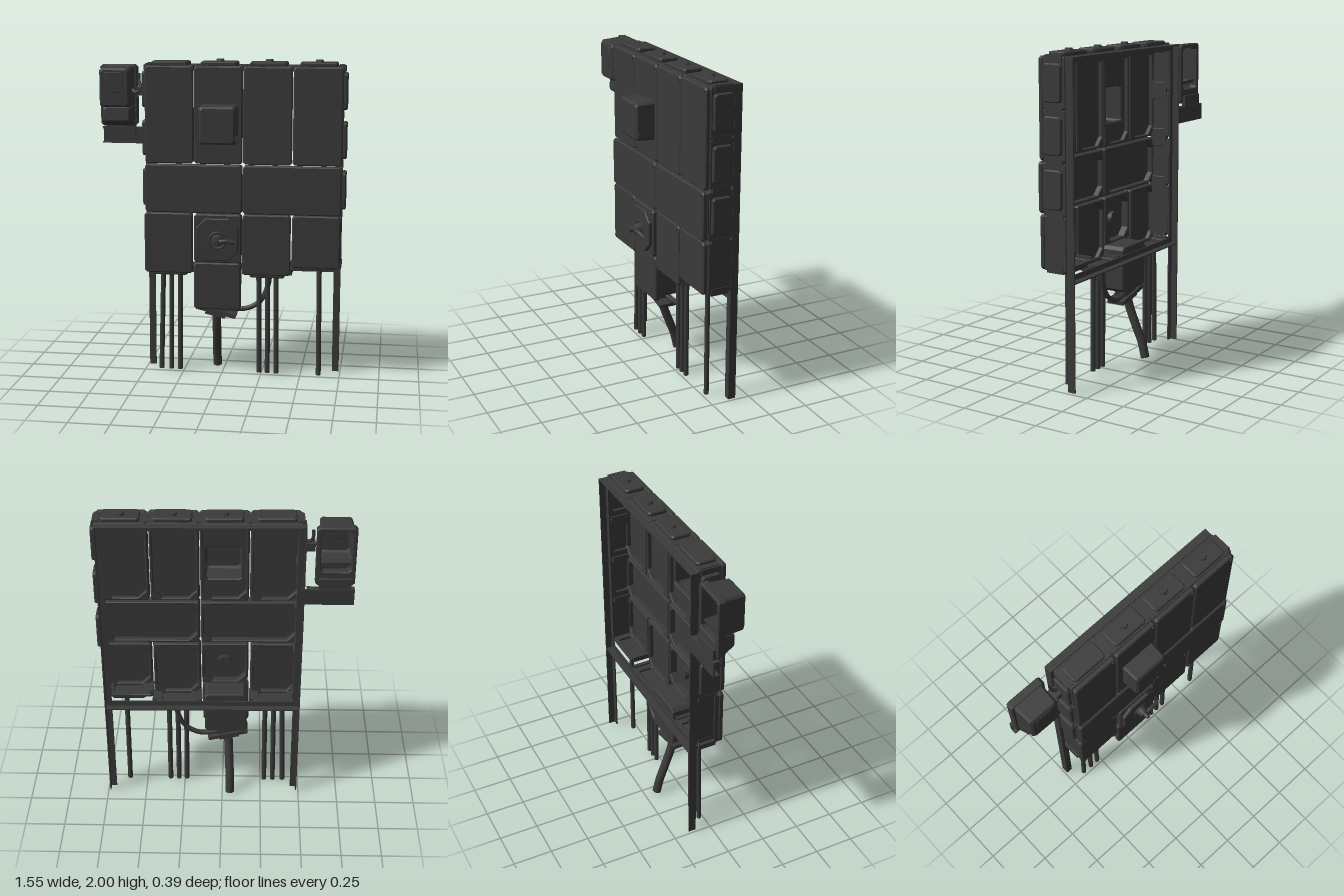
import * as THREE from 'three';

const material = new THREE.MeshStandardMaterial({ color: 0x3a3a3a, side: THREE.DoubleSide });

function add(parent, name, geometry, x = 0, y = 0, z = 0) {
  const mesh = new THREE.Mesh(geometry, material);
  mesh.name = name;
  mesh.position.set(x, y, z);
  parent.add(mesh);
  return mesh;
}

// Rectangle with cut corners
function outline(Type, x0, x1, y0, y1, c) {
  const p = [[x0 + c, y0], [x1 - c, y0], [x1, y0 + c], [x1, y1 - c],
    [x1 - c, y1], [x0 + c, y1], [x0, y1 - c], [x0, y0 + c]];
  return new Type(p.map(([x, y]) => new THREE.Vector2(x, y)));
}

// Bevelled plate facing z, with an optional cut-corner hole
function plate(parent, name, [x0, x1, y0, y1], z0, z1, c = 0.012, hole, b = 0.005) {
  const shape = outline(THREE.Shape, x0, x1, y0, y1, c);
  if (hole) shape.holes.push(outline(THREE.Path, ...hole));
  const geometry = new THREE.ExtrudeGeometry(shape, {
    depth: z1 - z0 - 2 * b, bevelEnabled: true, bevelSegments: 1,
    bevelSize: b, bevelThickness: b, bevelOffset: -b,
  });
  return add(parent, name, geometry, 0, 0, z0 + b);
}

function box(parent, name, x0, x1, y0, y1, z0, z1) {
  return add(parent, name, new THREE.BoxGeometry(x1 - x0, y1 - y0, z1 - z0),
    (x0 + x1) / 2, (y0 + y1) / 2, (z0 + z1) / 2);
}

function pipe(parent, name, points, radius, sides = 10) {
  const curve = new THREE.CatmullRomCurve3(points.map((p) => new THREE.Vector3(...p)));
  const geometry = new THREE.TubeGeometry(curve, points.length > 2 ? 24 : 1, radius, sides);
  return add(parent, name, geometry);
}

// Round part with its axis along z
function disc(parent, name, x, y, z0, z1, r0, r1 = r0, sides = 12) {
  const geometry = new THREE.CylinderGeometry(r1, r0, z1 - z0, sides).rotateX(Math.PI / 2);
  return add(parent, name, geometry, x, y, (z0 + z1) / 2);
}

// Front cell: rim with an octagonal opening, and a thin lid over it
function cell(parent, [x0, x1, y0, y1], front = 0.082, pocket) {
  const g = new THREE.Group();
  g.name = 'enclosureCell';
  parent.add(g);
  plate(g, 'cellRim', [x0 + 0.004, x1 - 0.004, y0 + 0.004, y1 - 0.004], 0.02, front - 0.028, 0.008,
    [x0 + 0.02, x1 - 0.02, y0 + 0.02, y1 - 0.02, 0.05]);
  plate(g, 'lid', [x0, x1, y0, y1], front - 0.032, front, 0.014, pocket, 0.007);
  for (const [x, y] of [[x0 + 0.025, y0 + 0.025], [x1 - 0.025, y1 - 0.025]]) {
    disc(g, 'lidScrew', x, y, front - 0.004, front + 0.005, 0.01, 0.01, 8);
  }
}

// Outer wall with a window covered by a protruding gland plate; local +y points outwards
function wall(parent, x, y, length, angle, { knob = false, out = 0.027, cover = true } = {}) {
  const g = new THREE.Group();
  g.name = 'outerWall';
  g.position.set(x, y, 0);
  g.rotation.z = angle;
  parent.add(g);
  const l = length / 2;
  const frame = plate(g, 'wallFrame', [-l, l, -0.105, 0.045], 0, 0.02, 0.004,
    cover ? [-l + 0.05, l - 0.05, -0.08, 0.02, 0.012] : undefined, 0.003);
  frame.rotation.x = Math.PI / 2;
  // End brackets inside the frame
  for (const s of [-1, 1]) box(g, 'cornerBracket', s * l - 0.012, s * l + 0.012, -0.028, 0.006, -0.085, 0.03);
  if (!cover) return;
  const lid = plate(g, 'glandPlate', [-l + 0.035, l - 0.035, -0.092, 0.032], 0, out, 0.014, undefined, 0.006);
  lid.rotation.x = Math.PI / 2;
  lid.position.y = out - 0.006;
  if (knob) add(g, 'plugScrew', new THREE.CylinderGeometry(0.024, 0.03, 0.016, 6), 0, out + 0.006, -0.03);
}

// Box narrowing towards the front, open at the back
function hood(parent, name, [x0, x1, y0, y1], z0, z1, taper) {
  const w = x1 - x0, h = y1 - y0;
  const profile = [[0.012, z0], [0, z0], [taper, z1 - 0.012], [taper + 0.012, z1]];
  const vertices = [], index = [];
  for (const [inset, z] of profile) {
    const a = w / 2 - inset, b = h / 2 - inset, c = 0.012;
    const ring = [[a - c, b], [c - a, b], [-a, b - c], [-a, c - b], [c - a, -b], [a - c, -b], [a, c - b], [a, b - c]];
    for (const [x, y] of ring) vertices.push(x, y, z);
  }
  for (let r = 0; r < 3; r++) for (let i = 0; i < 8; i++) {
    const a = r * 8 + i, b = r * 8 + (i + 1) % 8;
    index.push(a, b, b + 8, a, b + 8, a + 8);
  }
  for (let i = 1; i < 7; i++) index.push(24, 24 + i, 25 + i);
  const indexed = new THREE.BufferGeometry();
  indexed.setAttribute('position', new THREE.Float32BufferAttribute(vertices, 3));
  indexed.setIndex(index);
  const geometry = indexed.toNonIndexed();
  geometry.computeVertexNormals();
  return add(parent, name, geometry, (x0 + x1) / 2, (y0 + y1) / 2, 0);
}

export function createModel() {
  const model = new THREE.Group();
  model.name = 'electricalCabinet';
  const main = new THREE.Group();
  main.name = 'cabinet';
  main.rotation.y = 0.012;
  model.add(main);

  // Upper row of tall cells, middle row of wide cells, lower row
  const columns = [[-0.468, -0.167], [-0.162, 0.136], [0.14, 0.44], [0.445, 0.745]];
  columns.forEach(([a, b], i) => {
    cell(main, [a, b, 1.36, 1.957], 0.08, i === 1 ? [-0.11, 0.1, 1.5, 1.72, 0.01] : undefined);
    wall(main, (a + b) / 2, 1.955, b - a, 0, { knob: i > 0 });
  });
  cell(main, [-0.47, 0.136, 1.053, 1.354], 0.09);
  cell(main, [0.14, 0.745, 1.053, 1.354], 0.09);
  cell(main, [-0.478, -0.175, 0.665, 1.047]);
  cell(main, [0.137, 0.437, 0.665, 1.047]);
  cell(main, [0.445, 0.742, 0.72, 1.047]);

  // Side walls
  for (const [y, length, cover] of [[1.81, 0.29, true], [1.51, 0.29, true], [1.2, 0.3, true], [0.88, 0.32, false]]) {
    wall(main, 0.743, y, length, -Math.PI / 2, { cover });
    wall(main, -0.466, y, length, Math.PI / 2, { cover });
  }
  // Bottom walls
  wall(main, -0.325, 0.668, 0.29, Math.PI);
  wall(main, 0.287, 0.665, 0.29, Math.PI);
  wall(main, 0.594, 0.725, 0.29, Math.PI);

  // Protruding instrument hood
  hood(main, 'instrumentHood', [-0.122, 0.112, 1.49, 1.73], 0.06, 0.198, 0.006);
  box(main, 'hoodLatch', 0.1, 0.122, 1.52, 1.545, 0.17, 0.19);

  // Switch cell with octagonal face and rotary handle
  const sx = -0.013, sy = 0.89;
  cell(main, [-0.163, 0.133, 0.742, 1.047], 0.1);
  plate(main, 'switchFace', [-0.148, 0.116, 0.76, 1.025], 0.09, 0.122, 0.06);
  const ring = add(main, 'switchRing', new THREE.TorusGeometry(0.05, 0.008, 6, 20), sx, sy, 0.123);
  ring.scale.z = 0.8;
  disc(main, 'switchHub', sx, sy, 0.115, 0.165, 0.04, 0.028, 16);
  disc(main, 'switchKnob', sx, sy, 0.16, 0.198, 0.018, 0.014);
  pipe(main, 'switchHandle', [[sx - 0.02, sy - 0.01, 0.155], [0.04, 0.895, 0.165], [0.1, 0.885, 0.158]], 0.014, 8);
  disc(main, 'switchBackHub', sx, sy, 0.04, 0.075, 0.045, 0.045, 12);

  // Hanging lower box and its skewed cable plate
  plate(main, 'lowerBoxBody', [-0.153, 0.113, 0.45, 0.738], -0.098, 0.05, 0.02);
  plate(main, 'lowerBoxLid', [-0.167, 0.127, 0.435, 0.735], 0.045, 0.082, 0.014, undefined, 0.007);
  const cablePlate = box(main, 'cablePlate', -0.162, 0.094, 0.392, 0.416, -0.085, 0.03);
  cablePlate.rotation.z = -0.23;
  const cableCollar = box(main, 'cableCollar', -0.1, 0.03, 0.37, 0.45, -0.07, 0.01);
  cableCollar.rotation.z = -0.23;

  // Angle-section frame with two long legs
  for (const [outer, s] of [[-0.487, 1], [0.742, -1]]) {
    const a = Math.min(outer, outer + s * 0.042), b = Math.max(outer, outer + s * 0.042);
    box(main, 'legFlange', a, b, 0, 1.957, -0.112, -0.104);
    const e = outer + s * 0.008;
    box(main, 'legWeb', Math.min(outer, e), Math.max(outer, e), 0, 1.957, -0.153, -0.104);
  }
  for (const [y, web] of [[0.655, 0.655], [1.917, 1.949]]) {
    box(main, 'crossFlange', -0.48, 0.74, y, y + 0.04, -0.112, -0.104);
    box(main, 'crossWeb', -0.48, 0.74, web, web + 0.008, -0.153, -0.104);
  }

  // Straight conduits
  for (const [bottom, top, h] of [[-0.397, -0.38, 0.66], [-0.332, -0.327, 0.66], [-0.275, -0.272, 0.66],
    [0.238, 0.231, 0.66], [0.29, 0.287, 0.66], [0.346, 0.342, 0.66], [0.617, 0.612, 0.72]]) {
    pipe(model, 'conduit', [[bottom, 0, -0.028], [top, h, -0.03]], 0.016, 8);
    disc(model, 'conduitNut', top, h - 0.015, -0.015, 0.015, 0.024, 0.024, 8).rotation.x = Math.PI / 2;
    model.children.at(-1).position.z = -0.03;
  }

  // Heavy supply cable and looping side cable
  pipe(model, 'supplyCable', [[-0.035, 0.42, -0.03], [-0.04, 0.32, -0.055], [-0.045, 0.2, -0.1],
    [-0.05, 0.1, -0.14], [-0.05, 0, -0.165]], 0.028, 12);
  pipe(model, 'loopCable', [[0.3, 0.65, -0.06], [0.285, 0.56, -0.06], [0.235, 0.46, -0.06], [0.14, 0.41, -0.06],
    [0.04, 0.415, -0.05], [-0.03, 0.43, -0.04]], 0.016, 8);

  // Side unit: open-backed housing with a tapered skirt
  const side = new THREE.Group();
  side.name = 'sideUnit';
  model.add(side);
  plate(side, 'sideBackFrame', [-0.782, -0.547, 1.57, 1.95], -0.13, -0.08, 0.015, [-0.755, -0.575, 1.66, 1.925, 0.015]);
  hood(side, 'sideHousing', [-0.767, -0.562, 1.69, 1.945], -0.1, 0.05, 0.008);
  plate(side, 'sideCover', [-0.725, -0.61, 1.79, 1.915], 0.044, 0.054, 0.01, undefined, 0.003);
  const skirt = hood(side, 'sideSkirt', [-0.775, -0.555, 1.575, 1.72], -0.1, 0.0, 0.022);
  skirt.rotation.x = -0.08;
  skirt.position.z = -0.005;

  // Channel bracket carrying the side unit
  box(side, 'bracketPlate', -0.782, -0.47, 1.452, 1.555, -0.155, -0.145);
  for (const y of [1.452, 1.547]) box(side, 'bracketLip', -0.782, -0.5, y, y + 0.008, -0.155, -0.115);
  box(side, 'bracketStrap', -0.76, -0.57, 1.5, 1.62, -0.148, -0.125);

  // Short cables and fitting between side unit and cabinet
  pipe(side, 'sideCable', [[-0.57, 1.8, -0.03], [-0.54, 1.785, -0.01], [-0.51, 1.8, -0.03], [-0.48, 1.79, -0.04]], 0.012, 8);
  pipe(side, 'sideCable', [[-0.53, 1.9, -0.06], [-0.53, 1.86, -0.06], [-0.52, 1.83, -0.05], [-0.48, 1.81, -0.04]], 0.01, 8);
  box(side, 'sideFitting', -0.545, -0.49, 1.765, 1.815, -0.07, -0.01);

  return model;
}
